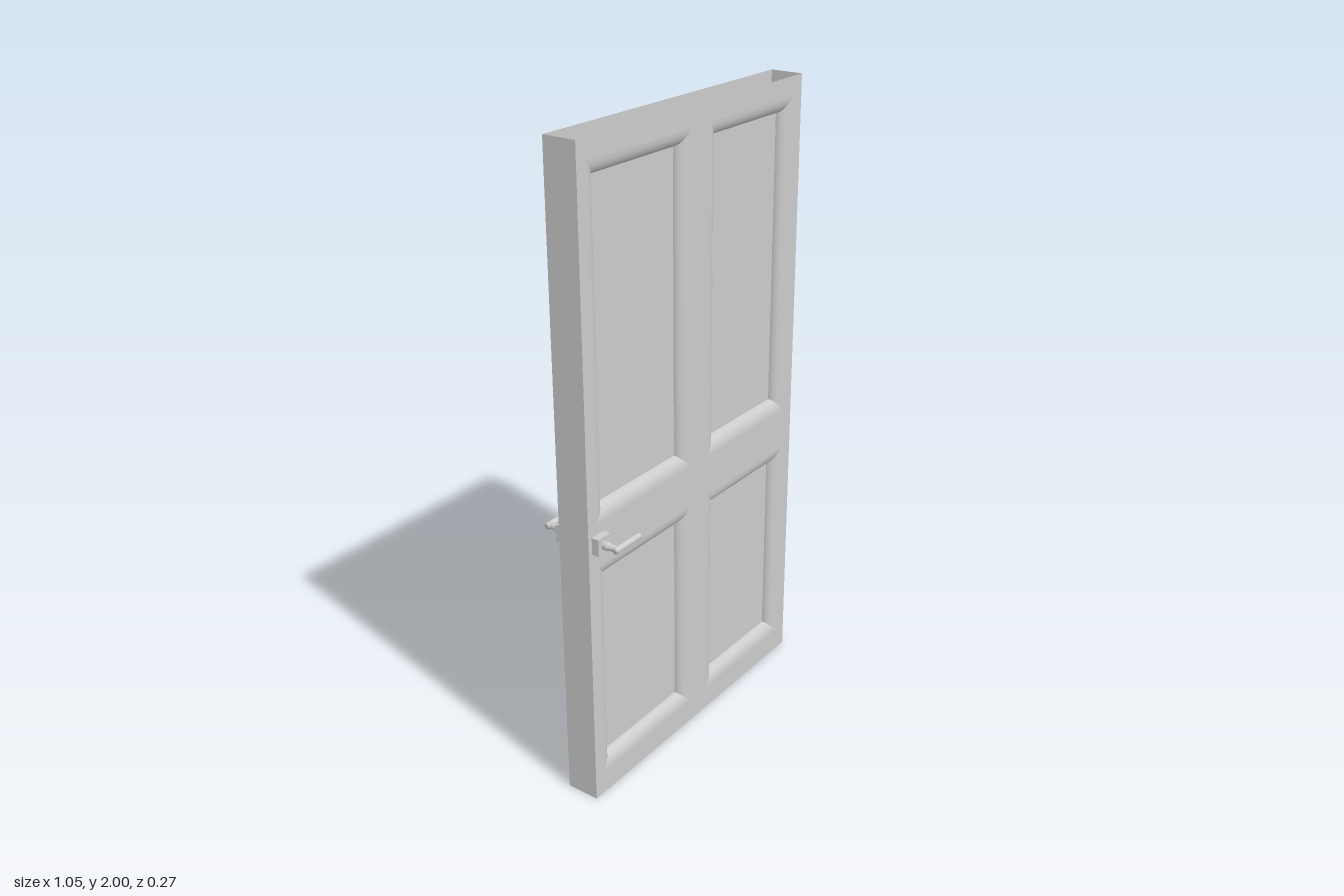
import * as THREE from 'three';
import { mergeGeometries } from 'three/addons/utils/BufferGeometryUtils.js';

const material = new THREE.MeshStandardMaterial({ color: 0xcccccc, side: THREE.DoubleSide });
const HALF_WIDTH = 0.525, HEIGHT = 2, FRONT_Z = 0.052, BACK_Z = -0.054;

function addMesh(parent, name, geometry, x = 0, y = 0, z = 0) {
  const mesh = new THREE.Mesh(geometry, material);
  mesh.name = name;
  mesh.position.set(x, y, z);
  parent.add(mesh);
  return mesh;
}

// Corners of a rectangle [x0, x1, y0, y1] shrunk by an inset, counter-clockwise
function corners([x0, x1, y0, y1], inset = 0) {
  const a = x0 + inset, b = x1 - inset, c = y0 + inset, d = y1 - inset;
  return [[a, c], [b, c], [b, d], [a, d]];
}

// Mitred moulding: a profile of [inset, depth] swept round the opening
function mouldingGeometry(rect, profile) {
  const sides = [];
  for (let k = 0; k < 4; k++) {
    const positions = [], index = [];
    profile.forEach(([inset, depth], j) => {
      const c = corners(rect, inset);
      positions.push(...c[k], -depth, ...c[(k + 1) % 4], -depth);
      if (j > 0) {
        const n = 2 * j;
        index.push(n - 2, n - 1, n + 1, n - 2, n + 1, n);
      }
    });
    const side = new THREE.BufferGeometry();
    side.setAttribute('position', new THREE.Float32BufferAttribute(positions, 3));
    side.setIndex(index);
    side.computeVertexNormals();
    sides.push(side);
  }
  return mergeGeometries(sides);
}

// One face of the door: flat frame, four mouldings and four recessed panels
function createFace(name, rects, profile) {
  const face = new THREE.Group();
  face.name = name;
  const toPoints = (list) => list.map(([x, y]) => new THREE.Vector2(x, y));
  const frame = new THREE.Shape(toPoints(corners([-HALF_WIDTH, HALF_WIDTH, 0, HEIGHT])));
  for (const rect of rects) frame.holes.push(new THREE.Path(toPoints(corners(rect))));
  addMesh(face, 'frame', new THREE.ShapeGeometry(frame));

  const [inset, depth] = profile[profile.length - 1];
  for (const rect of rects) {
    const [x0, x1, y0, y1] = rect;
    addMesh(face, 'moulding', mouldingGeometry(rect, profile));
    addMesh(face, 'panel', new THREE.PlaneGeometry(x1 - x0 - 2 * inset, y1 - y0 - 2 * inset),
      (x0 + x1) / 2, (y0 + y1) / 2, -depth);
  }
  return face;
}

// All pairs of column and row spans
const grid = (columns, rows) => columns.flatMap((c) => rows.map((r) => [...c, ...r]));

// Neck and lever on one side, pointing out along +z
function createLever(dir) {
  const lever = new THREE.Group();
  lever.name = 'lever';
  const neck = new THREE.LatheGeometry([
    [0.013, 0.07], [0.013, 0.093], [0.0125, 0.093], [0.01, 0.1], [0.01, 0.124],
  ].map(([r, h]) => new THREE.Vector2(r, h)), 24);
  neck.rotateX(Math.PI / 2);
  addMesh(lever, 'neck', neck);

  // Grip with a flat root and a rounded tip
  const points = [new THREE.Vector2(0, -0.01), new THREE.Vector2(0.01, -0.01)];
  for (let i = 0; i <= 6; i++) {
    const t = (i / 6) * Math.PI / 2;
    points.push(new THREE.Vector2(0.01 * Math.cos(t), 0.094 + 0.01 * Math.sin(t)));
  }
  const grip = new THREE.LatheGeometry(points, 24);
  grip.rotateZ(-Math.PI / 2 * dir);
  addMesh(lever, 'grip', grip, 0, 0, 0.123);
  return lever;
}

export function createModel() {
  const door = new THREE.Group();
  door.name = 'door';

  // Front face with rounded mouldings
  const rounded = [];
  for (let i = 0; i <= 8; i++) {
    const t = (i / 8) * Math.PI / 2;
    rounded.push([0.044 * Math.sin(t), 0.03 * (1 - Math.cos(t))]);
  }
  const front = createFace('frontFace',
    grid([[-0.49, -0.04], [0.047, 0.477]], [[0.078, 0.79], [0.926, 1.94]]), rounded);
  front.position.z = FRONT_Z;
  door.add(front);

  // Back face with straight bevels, turned to face the rear
  const back = createFace('backFace',
    grid([[0.073, 0.457], [-0.463, -0.062]], [[0.085, 0.775], [0.94, 1.92]]),
    [[0, 0], [0.019, 0.03]]);
  back.position.z = BACK_Z;
  back.rotation.y = Math.PI;
  door.add(back);

  // Side edges; the top and bottom of the shell stay open
  for (const s of [-1, 1]) {
    const edge = addMesh(door, s > 0 ? 'leftEdge' : 'rightEdge',
      new THREE.PlaneGeometry(FRONT_Z - BACK_Z, HEIGHT),
      s * HALF_WIDTH, HEIGHT / 2, (FRONT_Z + BACK_Z) / 2);
    edge.rotation.y = s * Math.PI / 2;
  }

  // Handle set: a square rose through the door with a lever on each side
  const handle = new THREE.Group();
  handle.name = 'handle';
  handle.position.set(-0.484, 0.866, -0.002);
  addMesh(handle, 'rose', new THREE.BoxGeometry(0.053, 0.053, 0.155));
  const frontLever = createLever(1);
  const backLever = createLever(-1);
  backLever.rotation.y = Math.PI;
  handle.add(frontLever, backLever);
  door.add(handle);

  return door;
}
